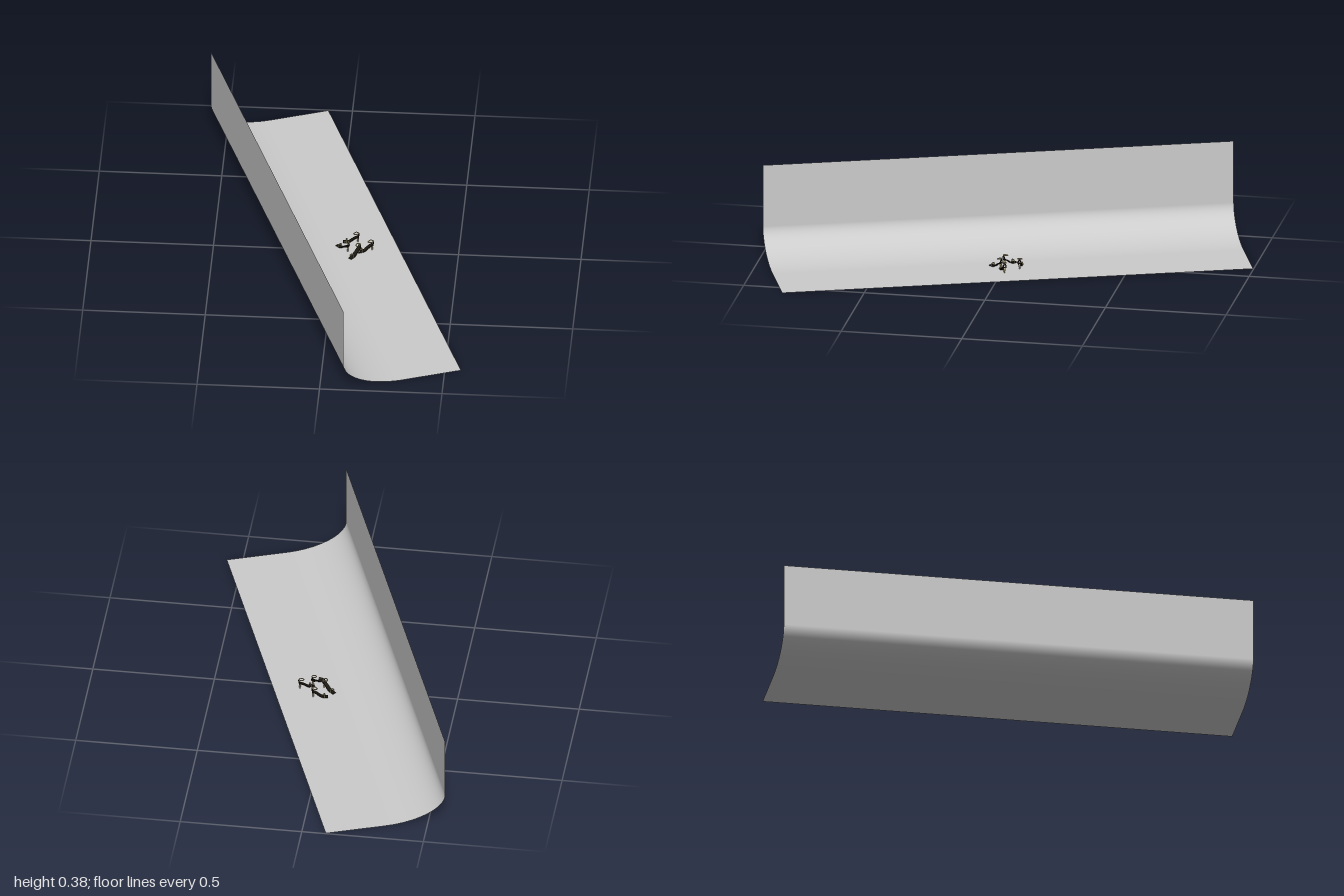
import * as THREE from 'three';

const ANGLE = THREE.MathUtils.degToRad(20);
const WIDTH = 0.497, LENGTH = 1.942, HEIGHT = 0.383;
const BEND_W = 0.25, BEND_H = 0.12;

const sheetMat = new THREE.MeshStandardMaterial({ color: 0xcccccc, side: THREE.DoubleSide });
const cream = new THREE.MeshStandardMaterial({ color: 0xc8b890 });
const dark = new THREE.MeshStandardMaterial({ color: 0x1c1812 });

function add(group, name, geometry, material) {
  const mesh = new THREE.Mesh(geometry, material);
  mesh.name = name;
  group.add(mesh);
  return mesh;
}

// Sheet: upright wall, elliptical bend, flat floor
function sheetGeometry() {
  const profile = [[0, HEIGHT]];
  const steps = 32;
  for (let i = 0; i <= steps; i++) {
    const a = (i / steps) * Math.PI / 2;
    profile.push([BEND_W * (1 - Math.cos(a)), BEND_H * (1 - Math.sin(a))]);
  }
  profile.push([WIDTH, 0]);
  const geo = new THREE.PlaneGeometry(1, LENGTH, profile.length - 1, 1).rotateX(-Math.PI / 2);
  const pos = geo.attributes.position;
  for (let i = 0; i < pos.count; i++) {
    const [x, y] = profile[i % profile.length];
    pos.setXY(i, x - WIDTH / 2, y);
  }
  geo.computeVertexNormals();
  return geo;
}

// Band looped over the foot, as a closed or open tube
function strap(points, closed = false) {
  const curve = new THREE.CatmullRomCurve3(points.map(p => new THREE.Vector3(...p)), closed);
  return new THREE.TubeGeometry(curve, 20, 0.0022, 6, closed);
}

// Small heeled sandal, toe towards +x
function makeSandal() {
  const sandal = new THREE.Group();
  sandal.name = 'sandal';

  // Arched sole, raised at the heel
  const side = new THREE.Shape();
  side.moveTo(0.034, 0.001);
  side.lineTo(0.012, 0.001);
  side.bezierCurveTo(0, 0.002, -0.012, 0.022, -0.031, 0.023);
  side.lineTo(-0.031, 0.027);
  side.bezierCurveTo(-0.01, 0.026, 0, 0.006, 0.012, 0.005);
  side.lineTo(0.034, 0.004);
  side.closePath();
  const sole = new THREE.ExtrudeGeometry(side, { depth: 0.016, bevelEnabled: false, curveSegments: 10 });
  add(sandal, 'sole', sole.translate(0, 0, -0.008), dark);

  const heel = add(sandal, 'heel', new THREE.CylinderGeometry(0.005, 0.0025, 0.024, 10), cream);
  heel.position.set(-0.027, 0.012, 0);

  add(sandal, 'toeStrap', strap([[0.02, 0.004, -0.009], [0.018, 0.014, -0.006],
    [0.017, 0.016, 0], [0.018, 0.014, 0.006], [0.02, 0.004, 0.009]]), cream);
  add(sandal, 'ankleStrap', strap([[-0.031, 0.043, 0], [-0.021, 0.042, 0.009],
    [-0.01, 0.04, 0], [-0.021, 0.042, -0.009]], true), cream);
  add(sandal, 'heelStrap', strap([[-0.028, 0.026, -0.007], [-0.031, 0.035, -0.004],
    [-0.031, 0.043, 0], [-0.031, 0.035, 0.004], [-0.028, 0.026, 0.007]]), dark);
  return sandal;
}

export function createModel() {
  const model = new THREE.Group();
  const sheet = add(model, 'backdropSheet', sheetGeometry(), sheetMat);
  sheet.rotation.y = ANGLE;

  // Four sandals in a loose ring: x, z, heading in degrees
  const places = [
    [0.058, -0.062, 185],
    [0.028, -0.012, 140],
    [0.122, -0.002, 205],
    [0.08, 0.034, 235],
  ];
  places.forEach(([x, z, turn]) => {
    const sandal = makeSandal();
    sandal.position.set(x, 0, z);
    sandal.rotation.y = THREE.MathUtils.degToRad(turn);
    model.add(sandal);
  });
  return model;
}
